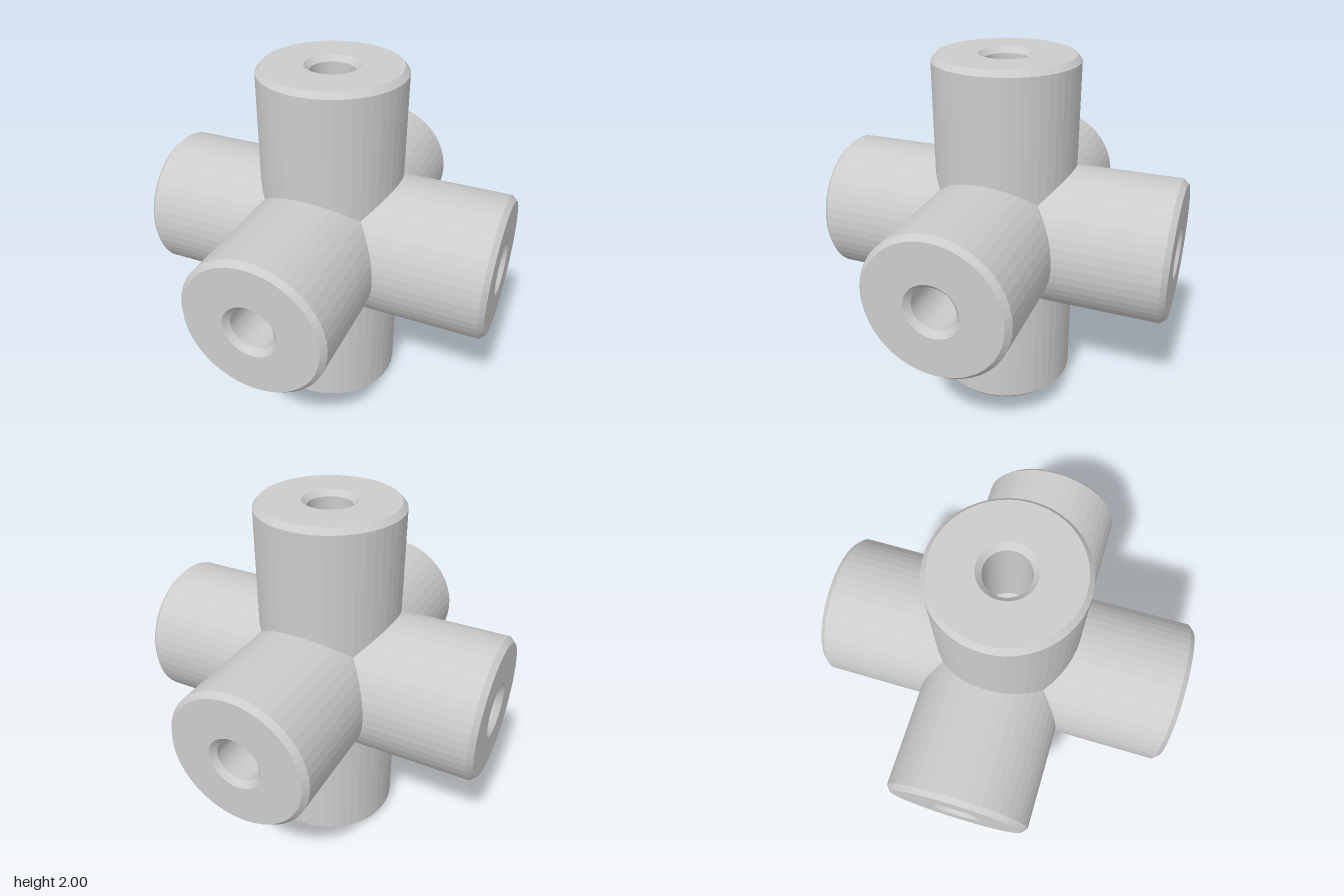
import * as THREE from 'three';

const SIDES = 48; // multiple of 8, so that vertices fall on the mitre corners

// One arm pointing up from the centre: outer wall, chamfered end, drilled blind hole
function armGeometry() {
  const profile = [
    [0.4, 0], [0.4, 0.97], [0.373, 1],          // outer wall and chamfer
    [0.15, 1], [0.12, 0.97],                    // end face and countersink
    [0.12, 0.5], [0, 0.43],                     // bore and conical drill tip
  ].map(([r, y]) => new THREE.Vector2(r, y));
  const geometry = new THREE.LatheGeometry(profile, SIDES);

  // Mitre the inner rim so that neighbouring arms meet exactly along their seams
  const p = geometry.attributes.position;
  for (let i = 0; i < p.count; i++) {
    if (p.getY(i) < 0.001) p.setY(i, Math.max(Math.abs(p.getX(i)), Math.abs(p.getZ(i))));
  }
  geometry.computeVertexNormals();
  return geometry;
}

export function createModel() {
  const model = new THREE.Group();
  model.name = 'sixWayConnector';
  const geometry = armGeometry();
  const material = new THREE.MeshStandardMaterial({ color: 0xcccccc, flatShading: true });

  // The same arm turned towards each of the six directions
  const q = Math.PI / 2;
  const arms = {
    topArm: [0, 0], frontArm: [q, 0], bottomArm: [2 * q, 0],
    backArm: [-q, 0], leftArm: [0, -q], rightArm: [0, q],
  };
  for (const [name, [rx, rz]] of Object.entries(arms)) {
    const arm = new THREE.Mesh(geometry, material);
    arm.name = name;
    arm.rotation.set(rx, 0, rz);
    arm.position.y = 1;
    model.add(arm);
  }
  return model;
}
